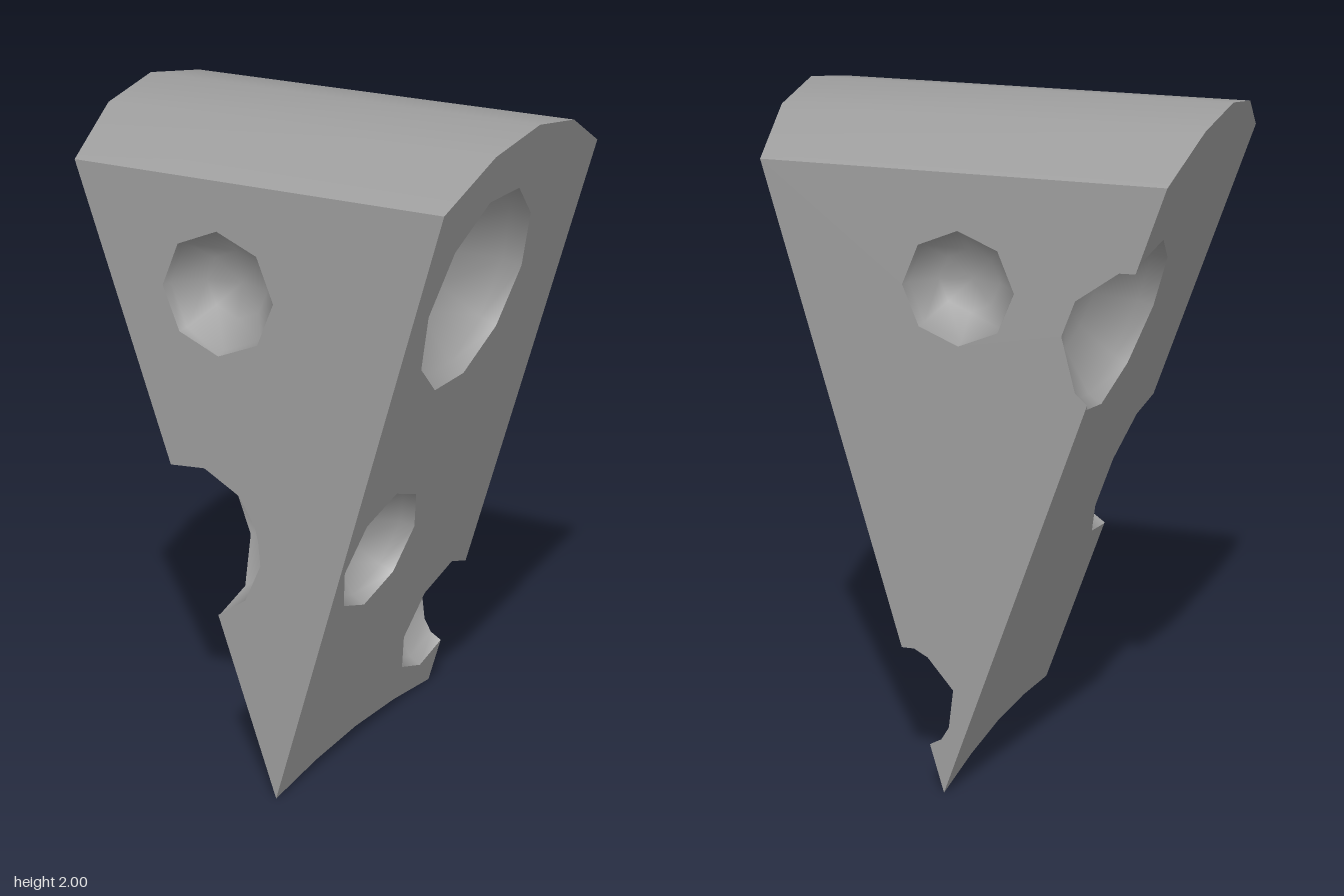
import * as THREE from 'three';

const V = (x, y, z) => new THREE.Vector3(x, y, z);
const D = 0.47; // half depth of the wedge
const tipX = 0.0625, tipY = 0.005; // where the slanted sides meet
const slopeL = 0.2875, slopeR = 0.3505;
const leftX = (y) => tipX + slopeL * (y - tipY); // slanted side towards +x
const rightX = (y) => tipX - slopeR * (y - tipY); // slanted side towards -x

// Rind and tip profiles as [z, y], from front to back
const rind = [[D, 1.85], [0.24, 1.962], [0, 2], [-0.24, 1.962], [-D, 1.85]];
const tip = [[-D, tipY], [-0.24, 0.03], [0, 0.04], [0.24, 0.03], [D, tipY]];

const sideOutline = (fx) => [...rind.map(([z, y]) => V(fx(y), y, z)), ...tip.map(([z, y]) => V(tipX, y, z))];
const endOutline = (z) => [V(rightX(1.85), 1.85, z), V(leftX(1.85), 1.85, z), V(tipX, tipY, z)];
const face = (name, normal, outline, flat) => {
  normal.normalize();
  return { name, normal, c: normal.dot(outline[0]), outline, flat };
};
const faces = {
  left: face('leftSide', V(1, -slopeL, 0), sideOutline(leftX), (p) => new THREE.Vector2(p.z, p.y)),
  right: face('rightSide', V(-1, -slopeR, 0), sideOutline(rightX), (p) => new THREE.Vector2(p.z, p.y)),
  front: face('frontFace', V(0, 0, 1), endOutline(D), (p) => new THREE.Vector2(p.x, p.y)),
  back: face('backFace', V(0, 0, -1), endOutline(-D), (p) => new THREE.Vector2(p.x, p.y)),
};
const height = (f, p) => f.normal.dot(p) - f.c; // distance outside a face

// Round holes: point on a face, how far the centre lies outside it, radius,
// stretch in y, number of sides and turn about the face normal
const holes = [
  { on: 'left', at: V(leftX(1.53), 1.53, 0.1), out: 0.1, r: 0.306, stretch: 1.12, segs: 10, phase: Math.PI / 10 },
  { on: 'left', at: V(leftX(0.76), 0.76, 0.24), out: 0.07, r: 0.223, stretch: 0.93, segs: 8, phase: 0 },
  { on: 'left', at: V(leftX(0.3), 0.3, -0.355), out: 0.075, r: 0.227, stretch: 0.95, segs: 8, phase: 0 },
  { on: 'right', at: V(rightX(1.42), 1.42, -0.32), out: 0.1, r: 0.287, stretch: 1, segs: 9, phase: 0.2 },
  { on: 'right', at: V(rightX(0.77), 0.77, 0.43), out: 0.01, r: 0.24, stretch: 1, segs: 9, phase: 0.2 },
  { on: 'front', at: V(-0.115, 1.525, D), out: 0.07, r: 0.2, stretch: 1, segs: 8, phase: 0 },
  { on: 'back', at: V(0.01, 1.525, -D), out: 0.06, r: 0.18, stretch: 1, segs: 8, phase: 0 },
];

// Keep the part of a polygon that lies inside a face's plane
function clip(poly, f) {
  const out = [];
  poly.forEach((a, i) => {
    const b = poly[(i + 1) % poly.length];
    const ha = height(f, a), hb = height(f, b);
    if (ha <= 0) out.push(a);
    if (ha * hb < 0) out.push(a.clone().lerp(b, ha / (ha - hb)));
  });
  return out;
}

// Ball surface cut down to what lies inside the wedge
function bowlPolygons(hole) {
  const { segs, phase } = hole, rings = 6;
  const n = faces[hole.on].normal;
  hole.centre = hole.at.clone().addScaledVector(n, hole.out);
  const turn = new THREE.Quaternion().setFromUnitVectors(V(0, 1, 0), n);
  const point = (i, j) => {
    const t = (i / rings) * Math.PI, a = ((j % segs) / segs) * Math.PI * 2 + phase;
    const p = V(Math.sin(t) * Math.cos(a), Math.cos(t), Math.sin(t) * Math.sin(a));
    p.applyQuaternion(turn).multiplyScalar(hole.r);
    p.y *= hole.stretch;
    return p.add(hole.centre);
  };
  const polys = [];
  for (let i = 0; i < rings; i++) {
    for (let j = 0; j < segs; j++) {
      let poly = [point(i, j), point(i + 1, j), point(i + 1, j + 1), point(i, j + 1)];
      if (i === rings - 1) poly.splice(2, 1);
      if (i === 0) poly.pop();
      for (const f of Object.values(faces)) poly = clip(poly, f);
      if (poly.length > 2) polys.push(poly);
    }
  }
  return polys;
}

function bowlGeometry(hole) {
  const pos = [], nor = [];
  for (const poly of hole.polys) {
    for (let k = 1; k < poly.length - 1; k++) {
      for (const p of [poly[0], poly[k], poly[k + 1]]) {
        const n = hole.centre.clone().sub(p);
        n.y /= hole.stretch ** 2;
        pos.push(...p.toArray());
        nor.push(...n.normalize().toArray());
      }
    }
  }
  const g = new THREE.BufferGeometry();
  g.setAttribute('position', new THREE.Float32BufferAttribute(pos, 3));
  g.setAttribute('normal', new THREE.Float32BufferAttribute(nor, 3));
  return g;
}

// Distinct points where a hole meets a face
function rimPoints(hole, f) {
  const rim = [];
  for (const p of hole.polys.flat()) {
    if (Math.abs(height(f, p)) < 1e-6 && !rim.some((q) => q.distanceTo(p) < 1e-4)) rim.push(p);
  }
  return rim;
}

// Flat face with round openings inside it and bites along its edges
function faceGeometry(f) {
  const rims = holes.map((h) => rimPoints(h, f)).filter((r) => r.length > 2);
  const bites = new Set();
  const contour = [];
  f.outline.forEach((a, i) => {
    const b = f.outline[(i + 1) % f.outline.length];
    const line = new THREE.Line3(a, b);
    contour.push(a);
    const found = [];
    for (const rim of rims) {
      const ends = rim.filter((p) => line.closestPointToPoint(p, true, V()).distanceTo(p) < 1e-5);
      if (ends.length < 2) continue;
      bites.add(rim);
      const mid = ends[0].clone().add(ends[1]).multiplyScalar(0.5);
      const toA = a.clone().sub(mid);
      const angle = (p) => p.clone().sub(mid).angleTo(toA);
      found.push({ d: mid.distanceTo(a), pts: rim.slice().sort((p, q) => angle(p) - angle(q)) });
    }
    found.sort((p, q) => p.d - q.d).forEach((bite) => contour.push(...bite.pts));
  });
  const openings = rims.filter((r) => !bites.has(r)).map((rim) => {
    const mid = rim.reduce((s, p) => s.add(p), V(0, 0, 0)).divideScalar(rim.length);
    const m = f.flat(mid);
    const angle = (p) => f.flat(p).sub(m).angle();
    return rim.slice().sort((p, q) => angle(p) - angle(q));
  });
  const pts = [...contour, ...openings.flat()];
  const tris = THREE.ShapeUtils.triangulateShape(contour.map(f.flat), openings.map((o) => o.map(f.flat)));
  const index = tris.flatMap(([a, b, c]) => {
    const n = pts[b].clone().sub(pts[a]).cross(pts[c].clone().sub(pts[a]));
    return n.dot(f.normal) > 0 ? [a, b, c] : [a, c, b];
  });
  const g = new THREE.BufferGeometry().setFromPoints(pts);
  g.setIndex(index);
  g.setAttribute('normal', new THREE.Float32BufferAttribute(pts.flatMap(() => f.normal.toArray()), 3));
  return g;
}

// Curved rind spanning the two slanted sides
function rindGeometry() {
  const pts = rind.flatMap(([z, y]) => [V(rightX(y), y, z), V(leftX(y), y, z)]);
  const index = [];
  for (let a = 0; a < pts.length - 2; a += 2) index.push(a, a + 1, a + 3, a, a + 3, a + 2);
  const g = new THREE.BufferGeometry().setFromPoints(pts);
  g.setIndex(index);
  g.computeVertexNormals();
  return g;
}

export function createModel() {
  const group = new THREE.Group();
  group.name = 'cheeseWedge';
  const material = new THREE.MeshStandardMaterial({ color: 0x9c9c9c });
  const add = (name, geometry) => {
    const mesh = new THREE.Mesh(geometry, material);
    mesh.name = name;
    group.add(mesh);
  };
  for (const hole of holes) hole.polys = bowlPolygons(hole);
  for (const f of Object.values(faces)) add(f.name, faceGeometry(f));
  holes.forEach((hole, i) => add(`${hole.on}Hole${i + 1}`, bowlGeometry(hole)));
  add('rind', rindGeometry());
  group.rotation.y = 0.0125;
  return group;
}
